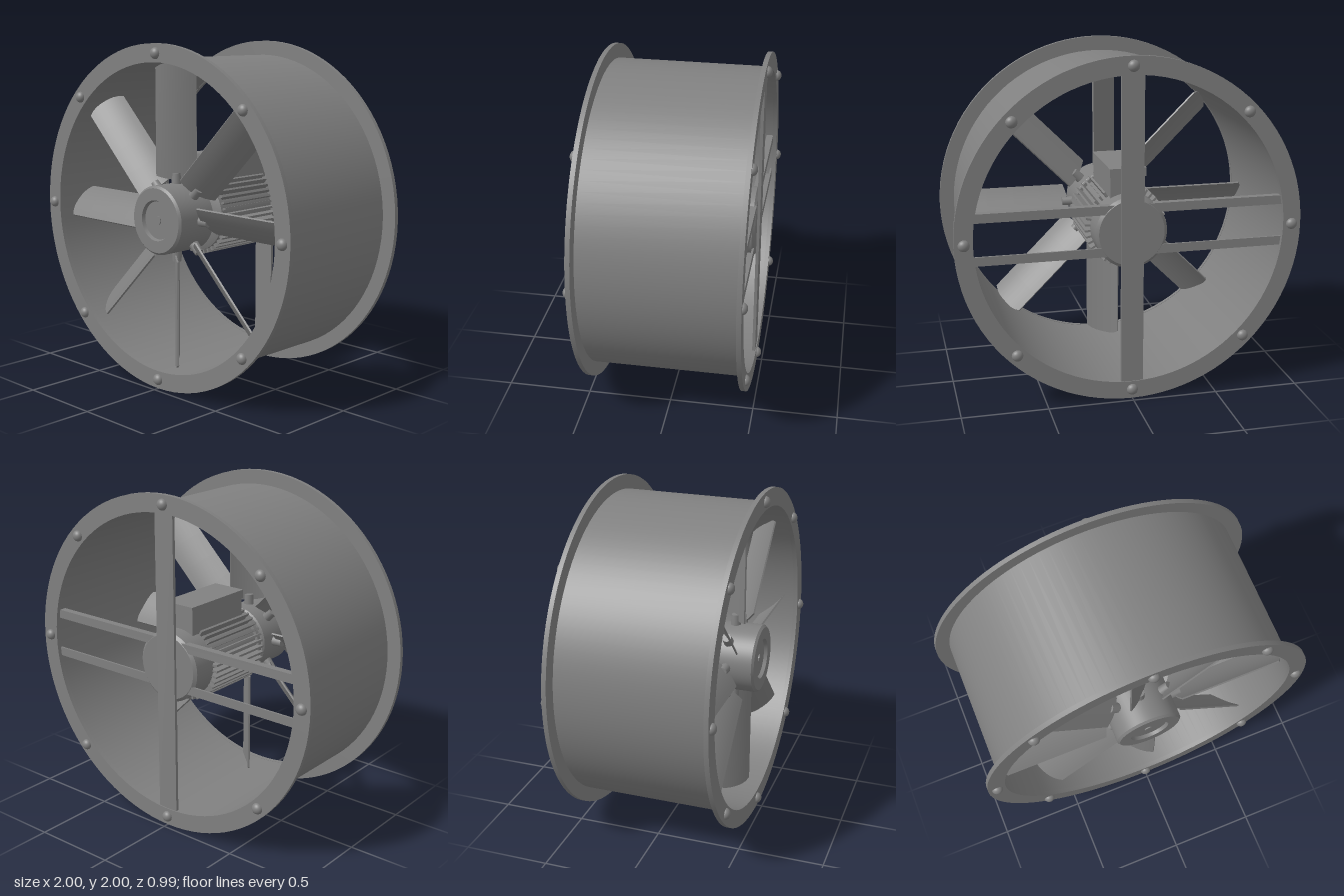
import * as THREE from 'three';
import { toCreasedNormals } from 'three/addons/utils/BufferGeometryUtils.js';

export function createModel() {
  const model = new THREE.Group();
  model.name = 'ductFan';
  const steel = new THREE.MeshStandardMaterial({ color: 0x808080 });
  steel.name = 'grey steel';

  // everything is built around the fan axis (z), raised by 1
  const fan = new THREE.Group();
  fan.name = 'fanBody';
  fan.position.y = 1;
  model.add(fan);

  const add = (name, geometry, parent = fan, x = 0, y = 0, z = 0) => {
    const mesh = new THREE.Mesh(geometry, steel);
    mesh.name = name;
    mesh.position.set(x, y, z);
    parent.add(mesh);
    return mesh;
  };
  // profile of [radius, z] pairs turned around the z axis
  const turn = (profile, segments = 96) => {
    const points = profile.map(([r, z]) => new THREE.Vector2(r, z));
    const g = new THREE.LatheGeometry(points, segments).rotateX(Math.PI / 2);
    return toCreasedNormals(g, 0.5);
  };
  const ring = (r0, r1, z0, z1) => turn([[r0, z0], [r1, z0], [r1, z1], [r0, z1], [r0, z0]]);
  const box = (w, h, d) => new THREE.BoxGeometry(w, h, d);

  // casing tube with an end flange on both sides
  add('casing', ring(0.897, 0.915, -0.45, 0.45));
  add('frontFlange', ring(0.895, 1, 0.44, 0.467));
  add('backFlange', ring(0.895, 1, -0.467, -0.44));

  // domed bolts around both flanges
  const dome = new THREE.SphereGeometry(0.033, 20, 8, 0, Math.PI * 2, 0, Math.PI / 2)
    .scale(1, 0.85, 1).rotateX(Math.PI / 2);
  for (let i = 0; i < 8; i++) {
    const a = (i * Math.PI) / 4;
    const x = 0.945 * Math.cos(a), y = 0.945 * Math.sin(a);
    add('frontBolt', dome, fan, x, y, 0.467);
    add('backBolt', dome, fan, x, y, -0.467).rotation.y = Math.PI;
  }

  // hub with a recessed front face and a small centre boss
  add('hub', turn([
    [0, 0.2], [0.19, 0.2], [0.2, 0.21], [0.2, 0.462], [0.187, 0.475],
    [0.118, 0.475], [0.11, 0.455], [0.024, 0.455], [0.024, 0.462], [0, 0.462],
  ], 64));

  // thin cambered blade: a box bent across its chord, with a rounded tip
  const half = 0.117, rootRadius = 0.222;
  const bladeGeometry = new THREE.BoxGeometry(half * 2, 1, 0.01, 8, 4, 1);
  const p = bladeGeometry.attributes.position;
  for (let i = 0; i < p.count; i++) {
    const u = p.getX(i) / half, t = p.getY(i) + 0.5;
    const root = rootRadius + 0.02 * u * u;
    const tip = 0.892 - 0.03 * Math.abs(u) ** 3;
    p.setY(i, root + t * (tip - root));
    p.setZ(i, p.getZ(i) + 0.014 * (0.5 - u * u));
  }
  const blade = toCreasedNormals(bladeGeometry, 0.6);
  const shank = new THREE.CylinderGeometry(0.026, 0.032, 0.09, 16);

  // eight pitched blades on short shanks
  for (let i = 0; i < 8; i++) {
    const arm = new THREE.Group();
    arm.name = 'bladeArm';
    arm.position.z = 0.31;
    arm.rotation.z = (i * Math.PI) / 4;
    fan.add(arm);
    add('blade', blade, arm).rotation.y = Math.PI / 4;
    add('bladeShank', shank, arm, 0, 0.215, 0);
  }

  // motor barrel, front bell and rear cowl
  add('motorBarrel', turn([[0, -0.3], [0.195, -0.3], [0.195, 0.15], [0, 0.15]], 64));
  add('motorBell', turn([
    [0, 0.13], [0.215, 0.13], [0.215, 0.155], [0.17, 0.175], [0.12, 0.18], [0.12, 0.21], [0, 0.21],
  ], 64));
  add('motorCowl', turn([
    [0, -0.445], [0.19, -0.445], [0.208, -0.43], [0.208, -0.29], [0, -0.29],
  ], 64));

  // cooling fins along the barrel
  const fin = box(0.012, 0.055, 0.44);
  for (let i = 0; i < 40; i++) {
    const a = ((i + 0.5) * Math.PI) / 20;
    add('coolingFin', fin, fan, -0.212 * Math.sin(a), 0.212 * Math.cos(a), -0.075).rotation.z = a;
  }

  // terminal box with its lid on top of the motor
  add('terminalBox', box(0.2, 0.13, 0.45), fan, 0, 0.24, -0.117);
  add('terminalLid', box(0.212, 0.05, 0.465), fan, 0, 0.327, -0.117);

  // rear supports: one upright plate and two horizontal angle bars
  add('uprightSupport', box(0.13, 1.79, 0.018), fan, 0, 0, -0.452);
  for (const [y, side] of [[0.14, 1], [-0.105, -1]]) {
    add('crossBar', box(1.785, 0.052, 0.012), fan, 0, y, -0.437);
    add('crossBarLip', box(1.785, 0.012, 0.04), fan, 0, y + side * 0.02, -0.42);
  }

  return model;
}
